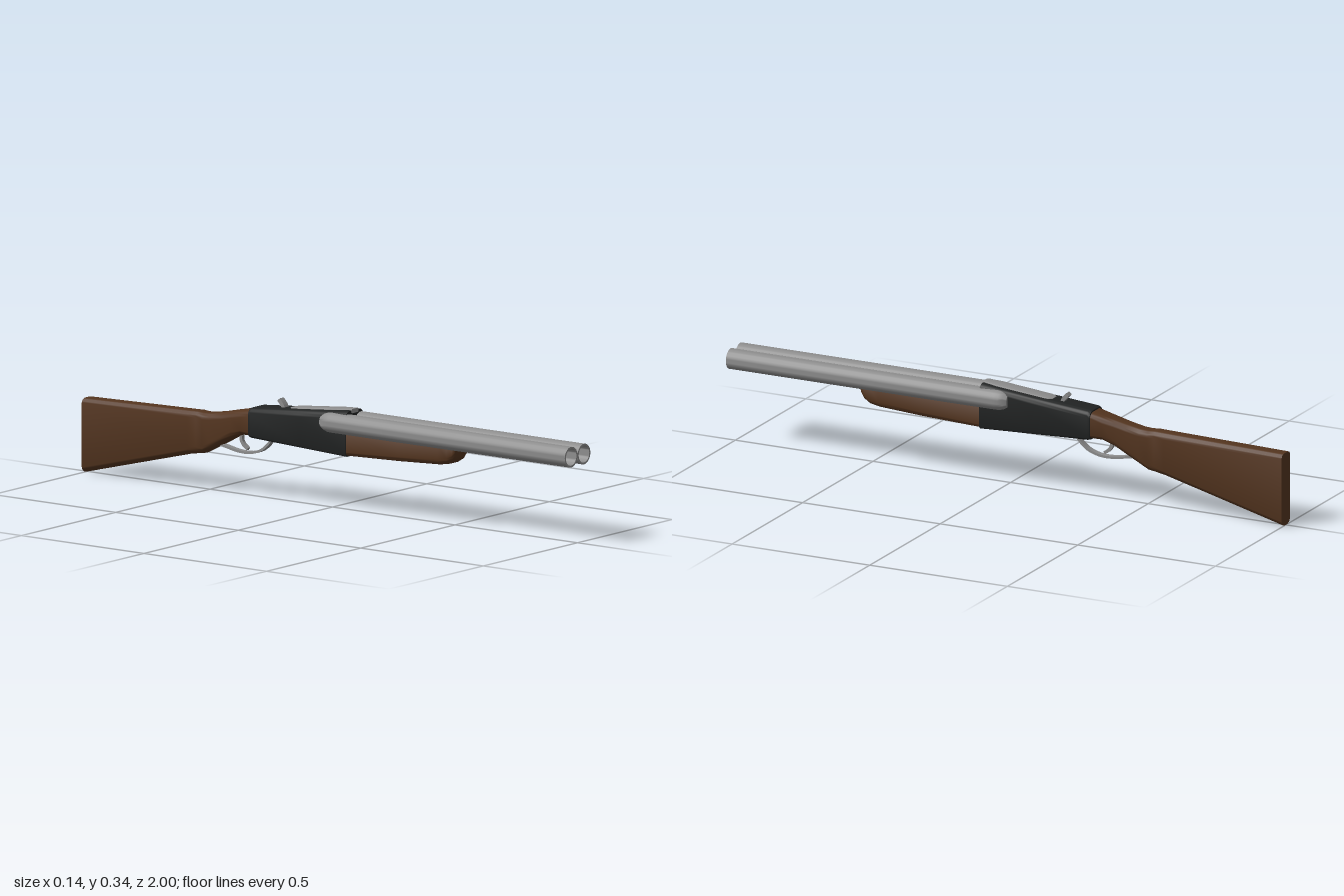
import * as THREE from 'three';
import { toCreasedNormals } from 'three/addons/utils/BufferGeometryUtils.js';

const material = (name, color) => {
  const m = new THREE.MeshStandardMaterial({ color });
  m.name = name;
  return m;
};

// Rounded rectangle ring: [z, bottom, top, halfWidth, bottomRadius, topRadius]
function ring([z, y0, y1, w, rb, rt]) {
  const corners = [[1, 1, rt], [-1, 1, rt], [-1, -1, rb], [1, -1, rb]];
  const n = 6, pts = [];
  corners.forEach(([sx, sy, r], q) => {
    const cx = sx * (w - r), cy = sy > 0 ? y1 - r : y0 + r;
    for (let i = 0; i <= n; i++) {
      const a = (q + i / n) * Math.PI / 2;
      pts.push([cx + r * Math.cos(a), cy + r * Math.sin(a), z]);
    }
  });
  return pts;
}

// Closed skin through rings ordered by rising z
function loft(sections, crease = 0.6) {
  const rings = sections.map(ring), m = rings[0].length;
  const pos = rings.flat(2), idx = [];
  for (let k = 0; k < rings.length - 1; k++) {
    for (let i = 0; i < m; i++) {
      const a = k * m + i, b = k * m + (i + 1) % m;
      idx.push(a, b, b + m, a, b + m, a + m);
    }
  }
  const last = (rings.length - 1) * m;
  for (let i = 1; i < m - 1; i++) {
    idx.push(0, i + 1, i);
    idx.push(last, last + i, last + i + 1);
  }
  const g = new THREE.BufferGeometry();
  g.setAttribute('position', new THREE.Float32BufferAttribute(pos, 3));
  g.setIndex(idx);
  return toCreasedNormals(g, crease);
}

// Flat strap following a curve in the z-y plane, extruded across x
function strap(points, thickness, width, steps = 24) {
  const curve = new THREE.CatmullRomCurve3(points.map(([z, y]) => new THREE.Vector3(z, y, 0)));
  const a = [], b = [];
  for (let i = 0; i <= steps; i++) {
    const p = curve.getPoint(i / steps), t = curve.getTangent(i / steps);
    const nx = -t.y * thickness / 2, ny = t.x * thickness / 2;
    a.push(new THREE.Vector2(p.x + nx, p.y + ny));
    b.unshift(new THREE.Vector2(p.x - nx, p.y - ny));
  }
  const g = new THREE.ExtrudeGeometry(new THREE.Shape([...a, ...b]), { depth: width, bevelEnabled: false });
  g.translate(0, 0, -width / 2);
  g.rotateY(-Math.PI / 2);
  return toCreasedNormals(g, 0.6);
}

export function createModel() {
  const wood = material('walnut', 0x54351f);
  const black = material('blackened steel', 0x222424);
  const steel = material('bare steel', 0x8e8e8e);
  const group = new THREE.Group();
  const add = (name, geometry, mat) => {
    const mesh = new THREE.Mesh(geometry, mat);
    mesh.name = name;
    group.add(mesh);
    return mesh;
  };

  // Twin barrels with rounded breech ends and hollow muzzles
  const profile = [
    [0, -0.012], [0.022, -0.012], [0.029, 0], [0.033, 0.015], [0.034, 0.03],
    [0.034, 1], [0.028, 1], [0.028, 0.56], [0, 0.56],
  ].map(([r, y]) => new THREE.Vector2(r, y));
  for (const side of [1, -1]) {
    const g = new THREE.LatheGeometry(profile, 36);
    g.rotateX(Math.PI / 2);
    add(side > 0 ? 'leftBarrel' : 'rightBarrel', toCreasedNormals(g, 0.7), steel)
      .position.set(side * 0.034, 0.292, 0);
  }

  // Receiver, sloping down to the wrist of the stock
  add('receiver', loft([
    [-0.31, 0.205, 0.3, 0.046, 0.014, 0.022],
    [-0.3, 0.203, 0.303, 0.047, 0.012, 0.022],
    [-0.1, 0.195, 0.32, 0.047, 0.01, 0.022],
    [0.09, 0.187, 0.337, 0.047, 0.008, 0.024],
  ]), black);

  // Top plate and its front tab
  add('topPlate', loft([
    [-0.16, 0.305, 0.317, 0.014, 0.002, 0.002],
    [-0.152, 0.306, 0.318, 0.022, 0.002, 0.002],
    [-0.14, 0.307, 0.3195, 0.025, 0.002, 0.002],
    [0.04, 0.325, 0.3365, 0.025, 0.002, 0.002],
    [0.092, 0.327, 0.341, 0.017, 0.002, 0.002],
  ]), steel);

  // Safety catch behind the plate
  add('safetyCatch', strap([[-0.19, 0.305], [-0.198, 0.32], [-0.212, 0.336]], 0.013, 0.022, 8), steel);

  // Fore-end under the barrels
  add('foreEnd', loft([
    [0.088, 0.19, 0.28, 0.046, 0.012, 0.01],
    [0.3, 0.196, 0.28, 0.045, 0.016, 0.01],
    [0.46, 0.203, 0.28, 0.042, 0.02, 0.01],
    [0.495, 0.209, 0.28, 0.04, 0.02, 0.01],
    [0.515, 0.221, 0.28, 0.038, 0.02, 0.01],
    [0.526, 0.237, 0.28, 0.036, 0.02, 0.01],
    [0.53, 0.255, 0.28, 0.034, 0.012, 0.01],
  ], 0.8), wood);

  // Shoulder stock, widening from wrist to butt
  add('stock', loft([
    [-1, 0.005, 0.25, 0.031, 0.024, 0.018],
    [-0.57, 0.115, 0.26, 0.031, 0.024, 0.02],
    [-0.535, 0.121, 0.261, 0.031, 0.024, 0.02],
    [-0.51, 0.125, 0.259, 0.031, 0.024, 0.021],
    [-0.48, 0.141, 0.261, 0.032, 0.024, 0.022],
    [-0.43, 0.167, 0.27, 0.033, 0.024, 0.022],
    [-0.39, 0.19, 0.279, 0.035, 0.022, 0.022],
    [-0.35, 0.206, 0.287, 0.039, 0.02, 0.022],
    [-0.305, 0.209, 0.296, 0.044, 0.016, 0.022],
  ], 0.6), wood);

  // Trigger guard and trigger
  add('triggerGuard', strap([
    [-0.24, 0.206], [-0.255, 0.185], [-0.285, 0.16], [-0.33, 0.146],
    [-0.38, 0.146], [-0.43, 0.155], [-0.47, 0.163],
  ], 0.008, 0.02), steel);
  add('trigger', strap([[-0.368, 0.205], [-0.37, 0.188], [-0.362, 0.171], [-0.343, 0.156]], 0.011, 0.012, 12), steel);

  return group;
}
